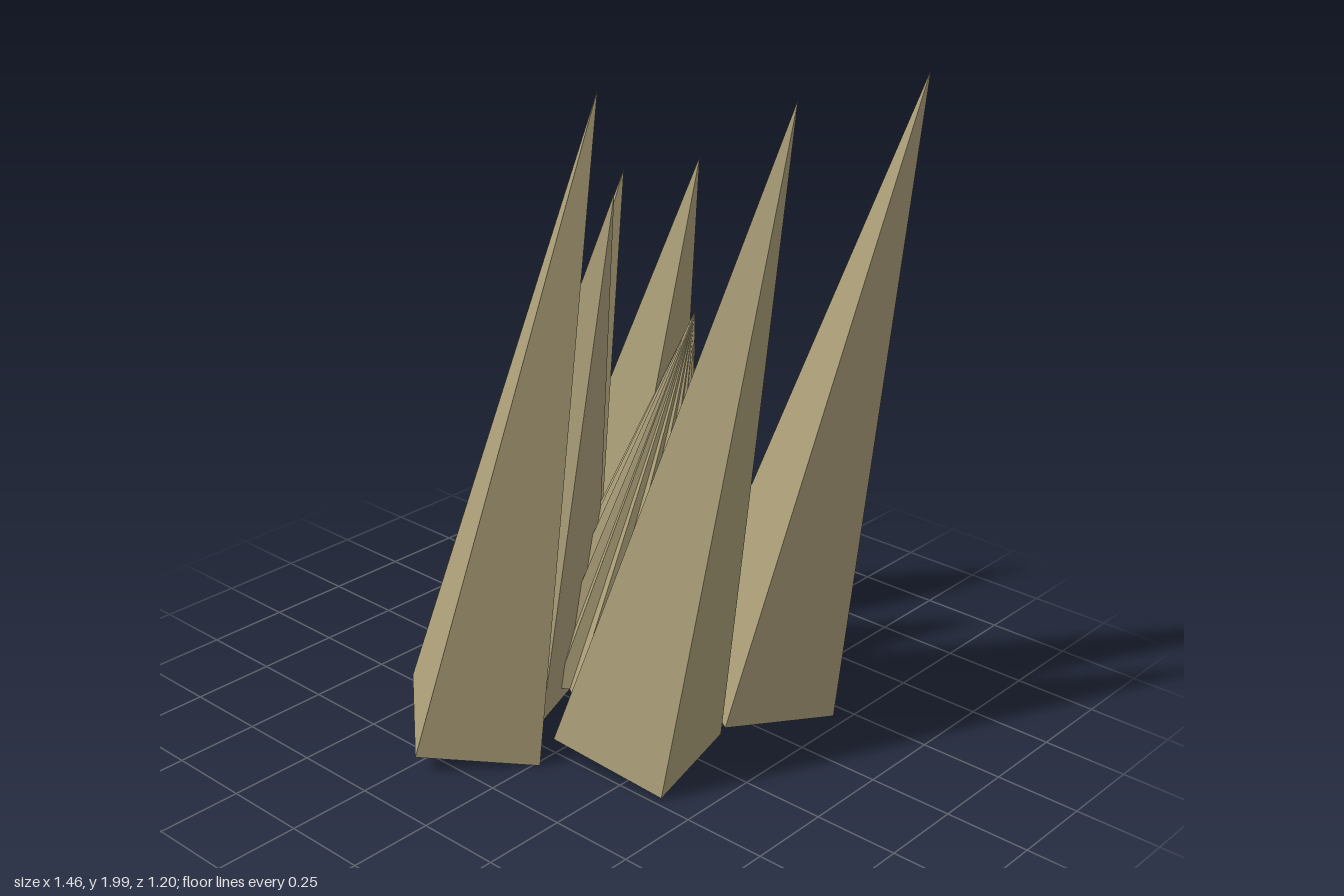
import * as THREE from 'three';

const TILT = -0.25, RADIUS = 0.25, BASE_Y = 0.07;

export function createModel() {
  const group = new THREE.Group();
  const material = new THREE.MeshStandardMaterial({ color: 0xb0a37c, flatShading: true });

  // A four-sided spike, twisted about its axis and leaning towards +x; x, z locate its base centre
  function addSpike(name, height, x, z, twist) {
    const geometry = new THREE.ConeGeometry(RADIUS, height, 4).translate(0, height / 2, 0);
    const spike = new THREE.Mesh(geometry, material);
    spike.name = name;
    spike.position.set(x, BASE_Y, z);
    spike.rotation.set(0, twist, TILT, 'ZYX');
    group.add(spike);
  }

  // Three tall spikes
  const tall = [[-0.225, 0.35, 0.08], [0.235, -0.365, 0.33], [0.183, 0.1, 1.01]];
  tall.forEach(([x, z, twist], i) => addSpike(`tallSpike${i + 1}`, 1.985, x, z, twist));

  // Three medium spikes
  const medium = [[-0.425, -0.375, 0.86], [-0.495, -0.14, 0.14], [-0.355, 0.05, -0.47]];
  medium.forEach(([x, z, twist], i) => addSpike(`mediumSpike${i + 1}`, 1.61, x, z, twist));

  // Short spikes sharing one axis, fanned by twist into a many-ridged star
  const count = 6;
  for (let i = 0; i < count; i++) {
    addSpike(`shortSpike${i + 1}`, 1.23, -0.18, -0.188, (i * Math.PI) / 2 / count);
  }
  return group;
}
